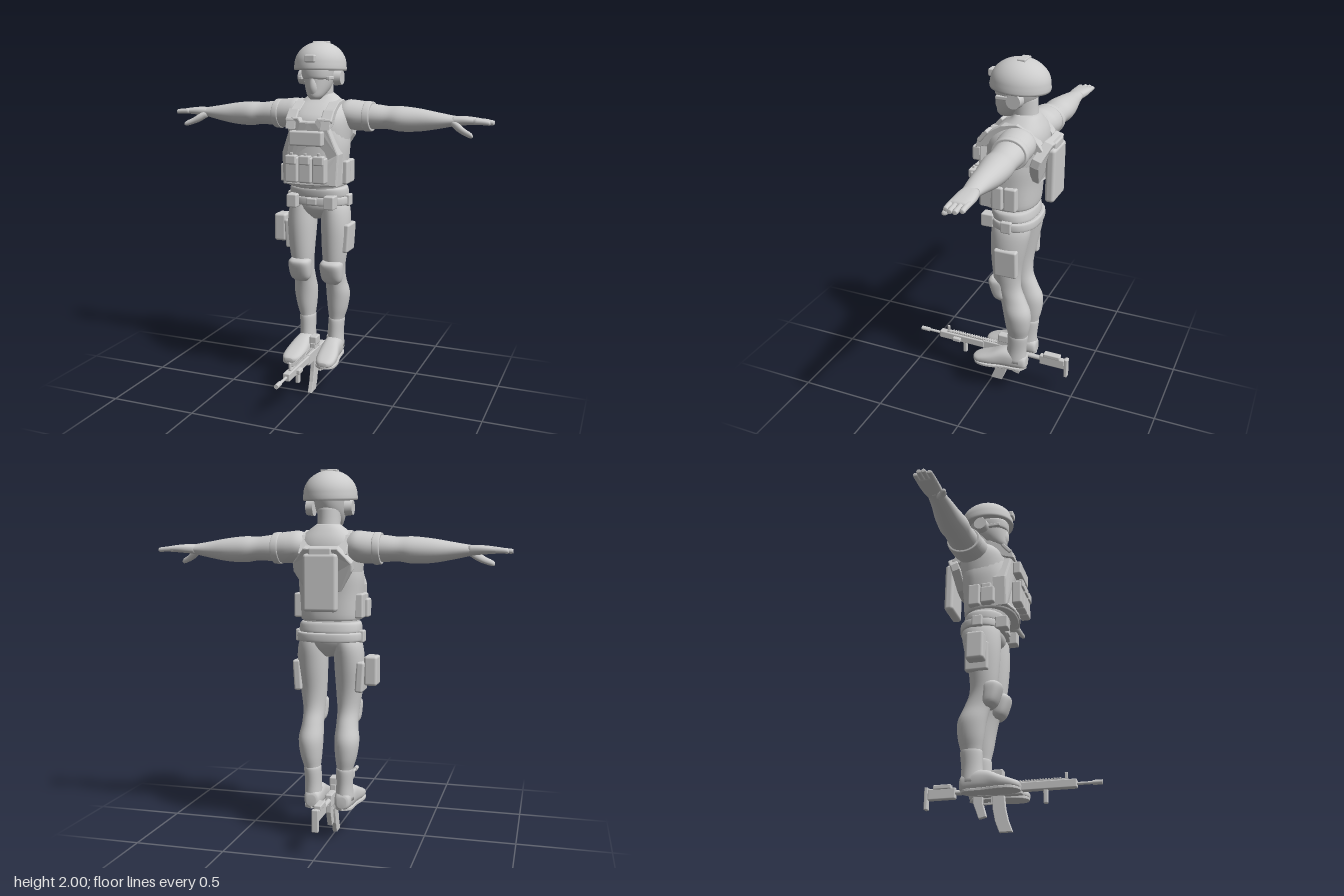
import * as THREE from 'three';
import { RoundedBoxGeometry } from 'three/addons/geometries/RoundedBoxGeometry.js';

const grey = new THREE.MeshStandardMaterial({ color: 0xcccccc });
grey.name = 'light grey';

// Smooth skin through elliptical sections [position along axis, centre u, centre v, radius u, radius v]
function loft(axis, sections, power = 1, steps = 4, sides = 28) {
  const centres = new THREE.CatmullRomCurve3(sections.map(s => new THREE.Vector3(s[0], s[1], s[2])), false, 'catmullrom', 0.5);
  const radii = new THREE.CatmullRomCurve3(sections.map(s => new THREE.Vector3(s[3], s[4], 0)), false, 'catmullrom', 0.5);
  const pos = [], idx = [], rings = (sections.length - 1) * steps;
  const put = (a, u, v) => pos.push(...(axis === 'y' ? [u, a, v] : axis === 'x' ? [a, u, v] : [u, v, a]));
  const bend = t => Math.sign(t) * Math.abs(t) ** power;
  for (let i = 0; i <= rings; i++) {
    const c = centres.getPoint(i / rings), r = radii.getPoint(i / rings);
    for (let j = 0; j < sides; j++) {
      const t = j / sides * Math.PI * 2, dir = axis === 'y' ? -1 : 1;
      put(c.x, c.y + r.x * bend(Math.cos(t)), c.z + dir * r.y * bend(Math.sin(t)));
    }
  }
  for (let i = 0; i < rings; i++) for (let j = 0; j < sides; j++) {
    const a = i * sides + j, b = i * sides + (j + 1) % sides;
    idx.push(a, b, a + sides, b, b + sides, a + sides);
  }
  // End caps
  const first = sections[0], last = sections[sections.length - 1], n = pos.length / 3;
  put(...first.slice(0, 3)); put(...last.slice(0, 3));
  for (let j = 0; j < sides; j++) {
    const k = (j + 1) % sides;
    idx.push(n, k, j, n + 1, rings * sides + j, rings * sides + k);
  }
  const g = new THREE.BufferGeometry();
  g.setAttribute('position', new THREE.Float32BufferAttribute(pos, 3));
  g.setIndex(idx);
  g.computeVertexNormals();
  return g;
}

// Box from its limits on each axis, optionally tilted about its own centre
const box = (x0, x1, y0, y1, z0, z1, r = 0.008, tiltX = 0, tiltZ = 0) => {
  const w = x1 - x0, h = y1 - y0, d = z1 - z0;
  return new RoundedBoxGeometry(w, h, d, 2, Math.min(r, w * 0.45, h * 0.45, d * 0.45))
    .rotateX(tiltX).rotateZ(tiltZ).translate((x0 + x1) / 2, (y0 + y1) / 2, (z0 + z1) / 2);
};
const extrude = (pts, depth, bevel) => new THREE.ExtrudeGeometry(new THREE.Shape(pts.map(p => new THREE.Vector2(...p))),
  { depth, bevelEnabled: bevel > 0, bevelSize: bevel, bevelThickness: bevel, bevelSegments: 2 });
// Side outline of (z, y) points, given a width across x
const sideCut = (pts, width, x = 0, bevel = 0.003) => extrude(pts, width, bevel).rotateY(-Math.PI / 2).translate(x + width / 2, 0, 0);
const rod = (r, z0, z1, y) => new THREE.CylinderGeometry(r, r, z1 - z0, 16).rotateX(Math.PI / 2).translate(0, y, (z0 + z1) / 2);

// Wrap a plate around the body
function wrap(geo, amount) {
  const p = geo.attributes.position;
  for (let i = 0; i < p.count; i++) p.setZ(i, p.getZ(i) + amount * p.getX(i) ** 2);
  geo.computeVertexNormals();
  return geo;
}

function mirrored(geo) {
  const g = geo.clone().applyMatrix4(new THREE.Matrix4().makeScale(-1, 1, 1));
  const src = g.index ? Array.from(g.index.array) : Array.from({ length: g.attributes.position.count }, (_, i) => i);
  for (let i = 0; i < src.length; i += 3) [src[i + 1], src[i + 2]] = [src[i + 2], src[i + 1]];
  g.setIndex(src);
  return g;
}

export function createModel() {
  const model = new THREE.Group();
  const add = (name, geo, parent = model) => {
    const m = new THREE.Mesh(geo, grey);
    m.name = name;
    parent.add(m);
  };
  const pair = (name, geo) => { add(name + 'Left', geo); add(name + 'Right', mirrored(geo)); };

  // Body
  add('torso', loft('y', [[1.02, 0, -.14, .025, .05], [1.08, 0, -.145, .12, .1], [1.14, 0, -.15, .155, .11], [1.22, 0, -.13, .15, .115],
    [1.35, 0, -.13, .155, .135], [1.48, 0, -.14, .17, .155], [1.58, 0, -.15, .175, .155], [1.64, 0, -.17, .155, .125],
    [1.69, 0, -.19, .1, .08], [1.72, 0, -.19, .06, .06]], .85));
  add('neck', loft('y', [[1.62, 0, -.2, .08, .08], [1.7, 0, -.185, .062, .068], [1.82, 0, -.17, .062, .075]]));
  add('head', loft('y', [[1.69, 0, -.075, .025, .035], [1.71, 0, -.085, .045, .058], [1.75, 0, -.115, .066, .09],
    [1.8, 0, -.135, .08, .11], [1.87, 0, -.145, .088, .12], [1.93, 0, -.15, .08, .11]]));
  add('faceMask', loft('y', [[1.695, 0, -.06, .018, .022], [1.74, 0, -.052, .03, .034], [1.78, 0, -.055, .028, .038], [1.82, 0, -.06, .014, .03]]));

  // Helmet and headgear
  const dome = [[0, .02], [.88, .01], [1, 0], [1.02, .012], [1, .03]];
  for (let i = 1; i <= 12; i++) {
    const t = i / 12 * Math.PI / 2;
    dome.push([Math.max(Math.cos(t), 0), .03 + .125 * Math.sin(t)]);
  }
  add('helmet', new THREE.LatheGeometry(dome.map(p => new THREE.Vector2(...p)), 40).scale(.141, 1, .157).rotateX(-.05).translate(0, 1.843, -.15));
  add('helmetMount', box(-.03, .03, 1.89, 1.93, -.02, .016));
  add('helmetTopPad', box(-.045, .045, 1.982, 2, -.19, -.145, .005));
  add('goggles', loft('y', [[1.8, 0, -.12, .078, .092], [1.812, 0, -.12, .085, .1], [1.848, 0, -.12, .088, .102], [1.86, 0, -.12, .084, .097]], .9));
  pair('earCup', new THREE.CylinderGeometry(.038, .044, .04, 24).rotateZ(-Math.PI / 2).translate(.105, 1.805, -.16));
  pair('headsetBand', box(.085, .112, 1.84, 1.87, -.175, -.145));
  pair('headsetArm', box(.07, .092, 1.795, 1.815, -.13, -.05, .005));

  // Arms, sleeves and hands
  pair('arm', loft('x', [[.2, 1.595, -.205, .07, .085], [.3, 1.595, -.208, .069, .083], [.38, 1.592, -.21, .063, .078], [.45, 1.588, -.21, .069, .082],
    [.55, 1.585, -.213, .062, .07], [.65, 1.585, -.21, .045, .056], [.74, 1.587, -.212, .028, .044], [.77, 1.588, -.214, .024, .042]]));
  pair('sleeve', loft('x', [[.1, 1.6, -.195, .06, .08], [.15, 1.605, -.2, .08, .098], [.2, 1.6, -.203, .083, .1], [.25, 1.597, -.205, .08, .094],
    [.275, 1.595, -.206, .077, .091]]));
  pair('sleeveCuff', loft('x', [[.25, 1.595, -.206, .08, .094], [.256, 1.595, -.206, .084, .098], [.285, 1.595, -.207, .082, .096], [.29, 1.595, -.207, .077, .091]]));
  pair('palm', loft('x', [[.73, 1.587, -.212, .026, .042], [.79, 1.59, -.218, .024, .05], [.84, 1.59, -.22, .02, .052], [.89, 1.588, -.22, .015, .05]], .8));
  [[-.257, .93], [-.232, .95], [-.207, .95], [-.182, .935]].forEach(([z, tip], i) =>
    pair('finger' + (i + 1), loft('x', [[.85, 1.589, z, .015, .0145], [.9, 1.587, z, .0135, .014], [tip - .006, 1.584, z, .012, .013], [tip, 1.583, z, .008, .009]], 1, 3, 12)));
  pair('thumb', loft('x', [[.73, 1.58, -.195, .018, .025], [.77, 1.558, -.17, .024, .025], [.81, 1.536, -.15, .019, .018],
    [.845, 1.522, -.136, .015, .014], [.857, 1.518, -.13, .007, .007]], 1, 3, 14));

  // Legs and boots
  pair('leg', loft('y', [[.24, .088, -.185, .042, .055], [.32, .088, -.19, .04, .052], [.4, .09, -.193, .042, .054], [.48, .097, -.195, .058, .07],
    [.57, .1, -.19, .067, .079], [.65, .096, -.165, .059, .073], [.73, .096, -.135, .06, .073], [.83, .099, -.128, .071, .081],
    [.97, .102, -.137, .081, .1], [1.08, .098, -.148, .077, .109], [1.15, .085, -.15, .06, .1]]));
  pair('bootShaft', loft('y', [[.24, .088, -.185, .05, .062], [.32, .088, -.188, .045, .057], [.4, .09, -.193, .047, .06], [.42, .09, -.194, .044, .056]]));
  pair('boot', loft('z', [[-.25, .085, .235, .025, .03], [-.235, .085, .24, .042, .046], [-.17, .086, .248, .052, .06], [-.1, .09, .245, .054, .057],
    [-.03, .097, .23, .06, .04], [.03, .102, .218, .055, .028], [.06, .104, .213, .04, .02], [.072, .104, .212, .022, .012]], .8));
  const soleEdge = new THREE.SplineCurve([[.085, .247], [.046, .215], [.045, .13], [.038, .03], [.055, -.045], [.102, -.07], [.148, -.045], [.158, .02], [.138, .12], [.128, .215], [.085, .247]]
    .map(p => new THREE.Vector2(...p))).getPoints(40).slice(0, -1).map(p => [p.x, p.y]);
  pair('sole', extrude(soleEdge, .01, .003).rotateX(-Math.PI / 2).applyMatrix4(new THREE.Matrix4().makeTranslation(0, .19, 0)).rotateX(0.01).scale(1, 1, 1).translate(0, 0, -.002));
  pair('kneePad', loft('y', [[.645, .096, -.1, .035, .02], [.67, .096, -.095, .057, .04], [.72, .096, -.085, .064, .05], [.765, .096, -.083, .064, .057], [.785, .096, -.09, .05, .045]], .75));
  pair('thighPocket', box(.15, .193, .835, 1, -.215, -.085, .012, 0, -.06));
  add('holster', box(-.262, -.19, .87, 1.03, -.19, -.09, .015));
  add('holsterHanger', box(-.2, -.16, .93, .99, -.16, -.12));

  // Belt
  add('belt', loft('y', [[1.105, 0, -.152, .165, .122], [1.112, 0, -.152, .178, .132], [1.148, 0, -.152, .178, .132], [1.155, 0, -.152, .166, .122]], .85));
  add('waistband', loft('y', [[1.15, 0, -.145, .16, .115], [1.16, 0, -.145, .168, .122], [1.195, 0, -.14, .166, .122], [1.21, 0, -.14, .155, .115]], .85));
  add('buckle', box(-.03, .03, 1.11, 1.15, -.04, -.012));
  pair('beltPouch', box(.08, .14, 1.095, 1.17, -.06, .012));
  pair('sideBeltPouch', box(.155, .188, 1.1, 1.165, -.18, -.12));

  // Armoured vest
  add('vest', loft('y', [[1.22, 0, -.115, .15, .135], [1.23, 0, -.115, .165, .15], [1.35, 0, -.12, .17, .153], [1.45, 0, -.13, .172, .157],
    [1.54, 0, -.14, .155, .16], [1.58, 0, -.14, .135, .145]], .8));
  add('frontPlate', wrap(extrude([[-.15, 1.235], [-.075, 1.235], [0, 1.235], [.075, 1.235], [.15, 1.235], [.158, 1.4], [.105, 1.54], [.095, 1.59], [.06, 1.59],
    [.045, 1.57], [0, 1.57], [-.045, 1.57], [-.06, 1.59], [-.095, 1.59], [-.105, 1.54], [-.158, 1.4]], .07, .008).translate(0, 0, -.036), -1.3));
  add('backPlate', wrap(extrude([[-.09, -.11], [0, -.12], [.09, -.11], [.15, -.01], [.15, .03], [.085, .11], [0, .11], [-.085, .11], [-.15, .03], [-.15, -.01]], .04, .006), .8)
    .rotateX(-.3).translate(0, 1.485, -.33));
  pair('shoulderStrap', sideCut([[.042, 1.54], [.028, 1.59], [-.045, 1.64], [-.1, 1.672], [-.18, 1.685], [-.25, 1.66], [-.32, 1.57], [-.28, 1.55], [-.22, 1.62], [-.1, 1.62], [-.02, 1.56]], .05, .1));
  pair('strapPad', box(.07, .135, 1.565, 1.645, -.01, .014, .008, -.7));
  add('chestPouch', box(-.095, .095, 1.45, 1.53, .03, .078, .01));
  [-.08, 0, .08].forEach((x, i) => {
    add('magazinePouch' + (i + 1), box(x - .037, x + .037, 1.25, 1.39, .03, .085, .01));
    add('magazineFlap' + (i + 1), box(x - .031, x + .031, 1.35, 1.4, .05, .095, .008));
    add('pullTab' + (i + 1), box(x - .008, x + .008, 1.38, 1.415, .07, .08, .003));
  });
  pair('sidePouchFront', box(.14, .19, 1.23, 1.36, -.13, -.07, .01));
  pair('sidePouchBack', box(.14, .188, 1.23, 1.36, -.205, -.137, .01));
  add('radio', box(-.202, -.165, 1.23, 1.33, -.13, -.05, .01));

  // Flat back pack
  add('backPack', box(-.09, .09, 1.275, 1.57, -.378, -.325, .018));
  add('backPackTop', box(-.06, .06, 1.55, 1.6, -.372, -.338, .01));

  // Rifle lying between the feet
  const rifle = new THREE.Group();
  rifle.name = 'rifle';
  model.add(rifle);
  const part = (name, geo) => add(name, geo, rifle);
  part('muzzle', rod(.013, .425, .475, .229));
  part('barrel', rod(.008, .33, .43, .229));
  part('handguard', box(-.02, .02, .207, .252, .05, .345, .006));
  part('receiver', box(-.018, .018, .19, .258, -.2, .06, .006));
  part('topRail', box(-.01, .01, .25, .26, -.18, .3, .002));
  for (let i = 0; i < 20; i++) part('railTooth' + (i + 1), box(-.01, .01, .258, .266, -.03 + i * .015, -.022 + i * .015, .001));
  part('frontSight', box(-.006, .006, .25, .293, .282, .298, .003));
  part('foregrip', box(-.012, .012, .135, .21, .168, .194, .008));
  part('sideLight', box(.015, .04, .215, .24, .2, .25, .006));
  part('sightBase', box(-.016, .016, .255, .29, -.11, -.035, .004));
  part('sight', box(-.022, .022, .28, .33, -.105, -.04, .008));
  part('magazine', sideCut([[-.04, .2], [-.032, .12], [-.018, .06], [.004, .004], [-.06, .004], [-.082, .06], [-.094, .12], [-.1, .2]], .02));
  part('pistolGrip', sideCut([[-.155, .195], [-.155, .16], [-.135, .088], [-.17, .08], [-.2, .16], [-.2, .195]], .022));
  part('triggerGuard', sideCut([[-.1, .19], [-.1, .15], [-.16, .15], [-.16, .158], [-.108, .158], [-.108, .19]], .01, 0, .001));
  part('bufferTube', rod(.014, -.46, -.19, .224));
  part('stock', box(-.016, .016, .19, .252, -.455, -.3, .008));
  part('cheekRest', box(-.02, .02, .245, .27, -.425, -.325, .006));
  part('buttPlate', box(-.018, .018, .14, .262, -.473, -.452, .006));
  return model;
}
